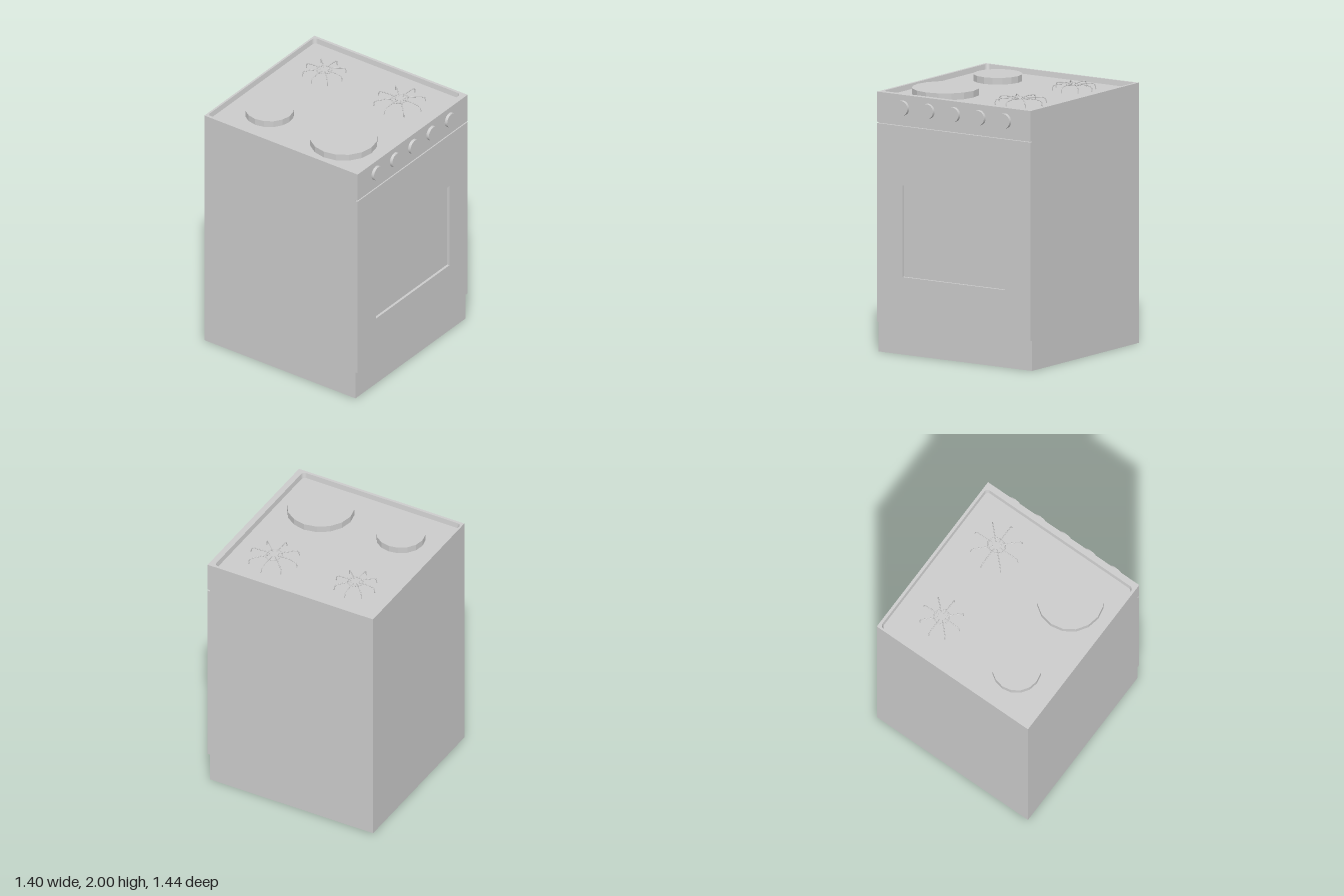
import * as THREE from 'three';

const material = new THREE.MeshStandardMaterial({ color: 0xcccccc });
const FLOOR = 1.945; // recessed cooking surface
const RIM_TOP = 1.985;

function add(parent, name, geometry, x = 0, y = 0, z = 0) {
  const mesh = new THREE.Mesh(geometry, material);
  mesh.name = name;
  mesh.position.set(x, y, z);
  parent.add(mesh);
  return mesh;
}

const polygon = (points) => new THREE.Shape(points.map(([x, y]) => new THREE.Vector2(x, y)));

const rectangle = (x0, y0, x1, y1) => polygon([[x0, y0], [x1, y0], [x1, y1], [x0, y1]]);

function roundedRectangle(x0, y0, x1, y1, r) {
  const path = new THREE.Path();
  path.absarc(x1 - r, y1 - r, r, 0, Math.PI / 2);
  path.absarc(x0 + r, y1 - r, r, Math.PI / 2, Math.PI);
  path.absarc(x0 + r, y0 + r, r, Math.PI, Math.PI * 1.5);
  path.absarc(x1 - r, y0 + r, r, Math.PI * 1.5, Math.PI * 2);
  path.closePath();
  return path;
}

// Side profile (z, y) with the control panel overhanging the front
function bodyGeometry() {
  const profile = polygon([
    [-0.722, 0], [0.68, 0], [0.68, 1.755], [0.7, 1.755], [0.7, FLOOR], [-0.722, FLOOR],
  ]);
  const geometry = new THREE.ExtrudeGeometry(profile, { depth: 1.4, bevelEnabled: false });
  return geometry.rotateY(-Math.PI / 2).translate(0.7, 0, 0);
}

// Raised rim whose inner wall leans inward towards the cooking surface
function rimGeometry() {
  const shape = rectangle(-0.7, -0.7, 0.7, 0.722);
  shape.holes.push(roundedRectangle(-0.678, -0.653, 0.678, 0.706, 0.03));
  const height = RIM_TOP - FLOOR;
  const geometry = new THREE.ExtrudeGeometry(shape, { depth: height, bevelEnabled: false, curveSegments: 5 });
  const p = geometry.attributes.position;
  for (let i = 0; i < p.count; i++) {
    const inner = Math.abs(p.getX(i)) < 0.69 && p.getZ(i) < height / 2;
    if (inner) p.setXY(i, p.getX(i) * 0.99, p.getY(i) * 0.99);
  }
  geometry.computeVertexNormals();
  return geometry.rotateX(-Math.PI / 2);
}

function doorGeometry() {
  const shape = rectangle(-0.7, 0.23, 0.7, 1.745);
  shape.holes.push(rectangle(-0.468, 0.595, 0.468, 1.295));
  return new THREE.ExtrudeGeometry(shape, { depth: 0.02, bevelEnabled: false });
}

// Wire pan support: a ring carrying eight legs bent down at the ends
function createPanSupport(name, reach, ringX, ringZ) {
  const support = new THREE.Group();
  support.name = name;
  const ring = add(support, 'supportRing', new THREE.TorusGeometry(1, 0.08, 6, 24).rotateX(Math.PI / 2), 0, 0.044, 0);
  ring.scale.set(ringX, 0.05, ringZ);
  const path = new THREE.CatmullRomCurve3([
    [0.028, 0.046], [0.06, 0.05], [reach * 0.8, 0.046], [reach * 0.93, 0.038], [reach - 0.004, 0],
  ].map(([x, y]) => new THREE.Vector3(x, y, 0)));
  const legGeometry = new THREE.TubeGeometry(path, 14, 0.004, 6);
  for (let i = 0; i < 8; i++) {
    add(support, 'supportLeg', legGeometry).rotation.y = (i * Math.PI) / 4;
  }
  return support;
}

export function createModel() {
  const cooker = new THREE.Group();
  cooker.name = 'cooker';

  add(cooker, 'body', bodyGeometry());
  add(cooker, 'hobRim', rimGeometry(), 0, FLOOR, 0);
  add(cooker, 'ovenDoor', doorGeometry(), 0, 0, 0.68);

  // Control knobs
  const knobGeometry = new THREE.CylinderGeometry(0.056, 0.058, 0.026, 32).rotateX(Math.PI / 2);
  for (let i = -2; i <= 2; i++) add(cooker, 'knob', knobGeometry, i * 0.233, 1.885, 0.709);

  // Solid hot plates on the right-hand half
  for (const [name, radius, z] of [['rearHotPlate', 0.185, -0.375], ['frontHotPlate', 0.255, 0.313]]) {
    const plate = new THREE.CylinderGeometry(radius, radius, 0.051, 16).toNonIndexed();
    plate.computeVertexNormals();
    add(cooker, name, plate, -0.345, FLOOR + 0.0255, z);
  }

  // Wire pan supports on the left-hand half
  const rear = createPanSupport('rearPanSupport', 0.17, 0.058, 0.058);
  rear.position.set(0.35, FLOOR, -0.375);
  const front = createPanSupport('frontPanSupport', 0.202, 0.07, 0.058);
  front.position.set(0.35, FLOOR, 0.325);
  cooker.add(rear, front);

  return cooker;
}
